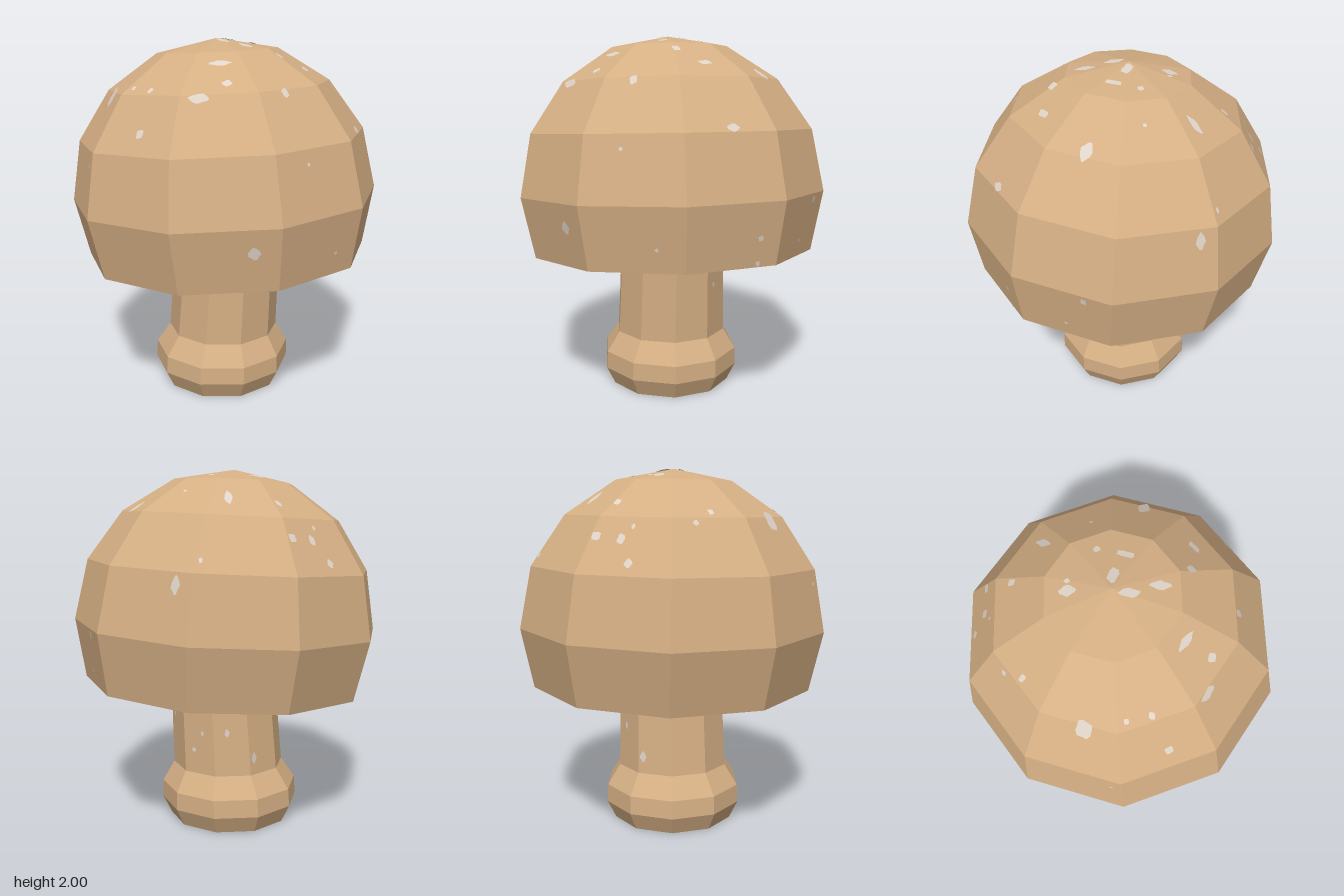
import * as THREE from 'three';

const SIDES = 10;
const STEP = (Math.PI * 2) / SIDES;

const skin = new THREE.MeshStandardMaterial({ color: 0xd5af84, side: THREE.DoubleSide });
skin.name = 'tan skin';
const pale = new THREE.MeshStandardMaterial({ color: 0xded3c8, side: THREE.DoubleSide });
pale.name = 'pale gills and flecks';

// Profiles as [radius, height], bottom to top
const CAP = [[0.8, 0], [0.869, 0.332], [0.803, 0.672], [0.615, 0.947], [0.333, 1.135], [0, 1.2]];
const GILLS = [[0.24, -0.07], [0.62, 0.06], [0.8, 0]];
const STEM = [[0.348, 0], [0.3975, 0.1], [0.393, 0.2], [0.32, 0.315], [0.305, 0.8]];

// The stem leans a little above its base
function lean(y) {
  const t = Math.max(0, (y - 0.15) / 0.62);
  return { x: -0.0175 + 0.033 * t, z: -0.0075 + 0.013 * t };
}

// Faceted ten-sided turned shape with corners on the x axis
function turned(profile, rule) {
  const points = profile.map(([r, y]) => new THREE.Vector2(r, y));
  const lathe = new THREE.LatheGeometry(points, SIDES, Math.PI / 2);
  const pos = lathe.attributes.position;
  if (rule) {
    for (let i = 0; i < pos.count; i++) {
      const s = rule(pos.getY(i));
      pos.setX(i, pos.getX(i) + s.x);
      pos.setZ(i, pos.getZ(i) + s.z);
    }
  }
  const geo = lathe.toNonIndexed();
  geo.computeVertexNormals();
  return geo;
}

function part(name, geometry, material) {
  const mesh = new THREE.Mesh(geometry, material);
  mesh.name = name;
  return mesh;
}

// Irregular flat blob
function blob(w, h, seed) {
  const shape = new THREE.Shape();
  for (let i = 0; i < 11; i++) {
    const a = (i / 11) * Math.PI * 2;
    const k = 0.5 * (1 + 0.15 * Math.sin(seed * 7.3 + i * 2.2));
    const x = Math.cos(a) * w * k, y = Math.sin(a) * h * k;
    if (i) shape.lineTo(x, y); else shape.moveTo(x, y);
  }
  return new THREE.ShapeGeometry(shape);
}

// Fleck lying on the facet that contains (x, z); height fixes the band,
// or, when it is null, the distance from the axis does
function fleck(profile, x, z, height, w, h, seed) {
  const angle = Math.atan2(z, x);
  const mid = (Math.floor(angle / STEP) + 0.5) * STEP;
  const flat = Math.cos(STEP / 2);
  const dist = Math.hypot(x, z) * Math.cos(angle - mid);
  let i = 0, t = 0;
  if (height === null) {
    i = 1;
    while (i < profile.length - 2 && profile[i + 1][0] * flat > dist) i++;
    t = (dist / flat - profile[i][0]) / (profile[i + 1][0] - profile[i][0]);
  } else {
    while (i < profile.length - 2 && profile[i + 1][1] < height) i++;
    t = (height - profile[i][1]) / (profile[i + 1][1] - profile[i][1]);
  }
  t = Math.min(1, Math.max(0, t));
  const [r0, y0] = profile[i], [r1, y1] = profile[i + 1];
  const d = (r0 + (r1 - r0) * t) * flat;
  const side = d * Math.tan(angle - mid);
  const c = Math.cos(mid), s = Math.sin(mid);
  // Plate axes: across the facet, up its slope, and outward
  const normal = new THREE.Vector3(c * (y1 - y0), (r0 - r1) * flat, s * (y1 - y0)).normalize();
  const right = new THREE.Vector3(s, 0, -c);
  const up = new THREE.Vector3().crossVectors(normal, right);
  const mesh = part('fleck', blob(w, h, seed), pale);
  mesh.position.set(c * d - s * side, y0 + (y1 - y0) * t, s * d + c * side).addScaledVector(normal, 0.004);
  mesh.quaternion.setFromRotationMatrix(new THREE.Matrix4().makeBasis(right, up, normal));
  return mesh;
}

export function createModel() {
  const model = new THREE.Group();
  model.name = 'mushroom';

  // Stem with bulging foot, open below
  const stem = new THREE.Group();
  stem.name = 'stem';
  stem.add(part('stemWall', turned(STEM, lean), skin));
  // Flecks on the stem: x, z, height, width, length
  const stemFlecks = [
    [-0.175, 0.25, 0.62, 0.035, 0.035], [0.3, -0.06, 0.62, 0.025, 0.025],
    [0.2, -0.22, 0.45, 0.025, 0.025], [0.15, -0.25, 0.55, 0.02, 0.025],
    [0.02, -0.29, 0.56, 0.025, 0.045], [-0.12, -0.28, 0.41, 0.035, 0.06],
  ];
  stemFlecks.forEach(([x, z, y, w, h], i) => {
    const f = fleck(STEM, x, z, y, w, h, i + 40);
    f.position.x += lean(y).x;
    f.position.z += lean(y).z;
    stem.add(f);
  });
  model.add(stem);

  // Slightly tilted cap with gilled underside
  const cap = new THREE.Group();
  cap.name = 'cap';
  cap.position.set(0.012, 0.802, 0.005);
  cap.rotation.set(-0.018, 0, 0.045);
  cap.add(part('capDome', turned(CAP), skin));
  cap.add(part('gills', turned(GILLS), pale));

  // Flecks on top of the cap: x, z, width, length
  const top = [
    [-0.22, -0.49, 0.035, 0.05], [0.03, -0.48, 0.04, 0.11], [-0.15, -0.19, 0.055, 0.08],
    [-0.11, -0.22, 0.025, 0.03], [0.1, -0.2, 0.035, 0.035], [0.15, -0.07, 0.09, 0.035],
    [0.02, -0.05, 0.05, 0.09], [-0.01, 0.06, 0.045, 0.1], [0.11, 0.15, 0.045, 0.1],
    [0.49, -0.2, 0.06, 0.1], [0.42, 0.14, 0.075, 0.04], [0.28, 0.21, 0.045, 0.05],
    [-0.6, 0.2, 0.08, 0.12], [-0.38, 0.43, 0.03, 0.04], [-0.03, 0.38, 0.11, 0.04],
    [0, 0.51, 0.05, 0.045], [0.28, 0.49, 0.04, 0.055], [-0.57, -0.17, 0.03, 0.045],
    [-0.47, 0.35, 0.025, 0.03], [0.24, -0.34, 0.02, 0.02],
  ];
  top.forEach(([x, z, w, h], i) => cap.add(fleck(CAP, x + 0.04, z + 0.015, null, w, h, i)));

  // Flecks on the sides of the cap: x, z, height, width, length
  const sides = [
    [0.13, 0.8, 0.21, 0.06, 0.065], [0.58, 0.6, 0.12, 0.02, 0.02], [0.8, 0.11, 0.15, 0.03, 0.03],
    [0.8, 0.11, 0.02, 0.025, 0.03], [0.75, -0.37, 0.3, 0.03, 0.04], [0.8, -0.27, 0.09, 0.02, 0.02],
    [0.33, -0.74, 0.61, 0.045, 0.09], [0.72, 0.22, 0.69, 0.065, 0.045], [-0.1, 0.6, 0.93, 0.1, 0.05],
    [-0.4, 0.59, 0.77, 0.045, 0.05], [-0.24, -0.65, 0.85, 0.05, 0.05], [-0.36, -0.58, 0.84, 0.04, 0.06],
    [-0.46, -0.6, 0.73, 0.04, 0.05], [-0.38, -0.52, 0.9, 0.02, 0.03], [-0.57, -0.27, 0.92, 0.03, 0.03],
    [0.2, -0.69, 0.73, 0.02, 0.03], [-0.63, 0.4, 0.6, 0.02, 0.02], [0.42, 0.68, 0.6, 0.02, 0.02],
  ];
  sides.forEach(([x, z, y, w, h], i) => cap.add(fleck(CAP, x, z, y, w, h, i + 20)));
  model.add(cap);

  return model;
}
